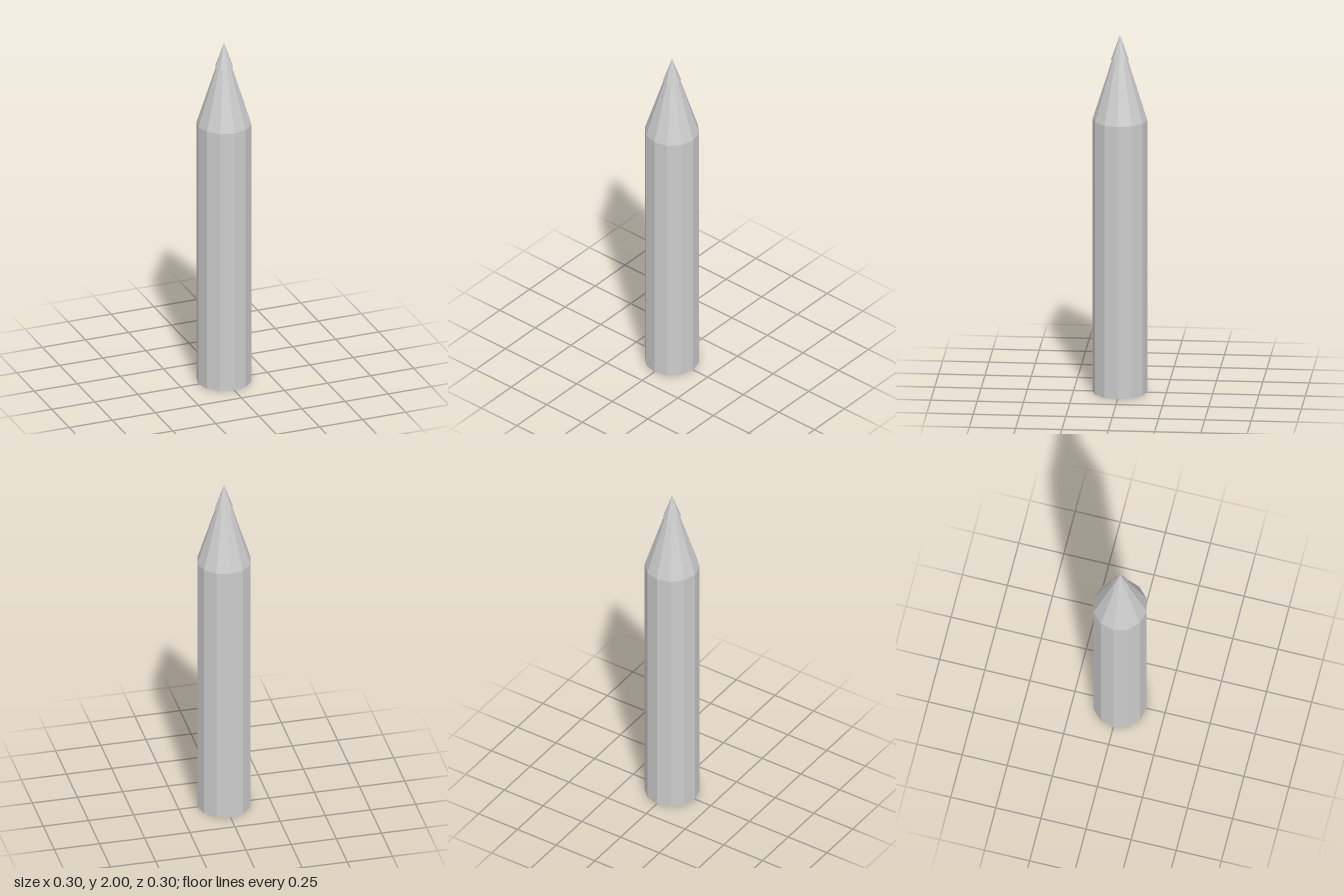
import * as THREE from 'three';

export function createModel() {
  const group = new THREE.Group();
  const material = new THREE.MeshStandardMaterial({ color: 0xcccccc, flatShading: true });

  // Adds a faceted, capped section standing between two heights
  function addSection(name, rTop, rBottom, y0, y1, sides) {
    const geometry = new THREE.CylinderGeometry(rTop, rBottom, y1 - y0, sides);
    const mesh = new THREE.Mesh(geometry, material);
    mesh.name = name;
    mesh.position.y = (y0 + y1) / 2;
    group.add(mesh);
  }

  // Twelve-sided barrel and sharpened cone
  addSection('barrel', 0.148, 0.148, 0, 1.525, 12);
  addSection('sharpenedCone', 0, 0.148, 1.525, 1.995, 12);
  // Eight-sided point, slightly wider than the cone beneath it
  addSection('point', 0, 0.049, 1.86, 2, 8);

  return group;
}
